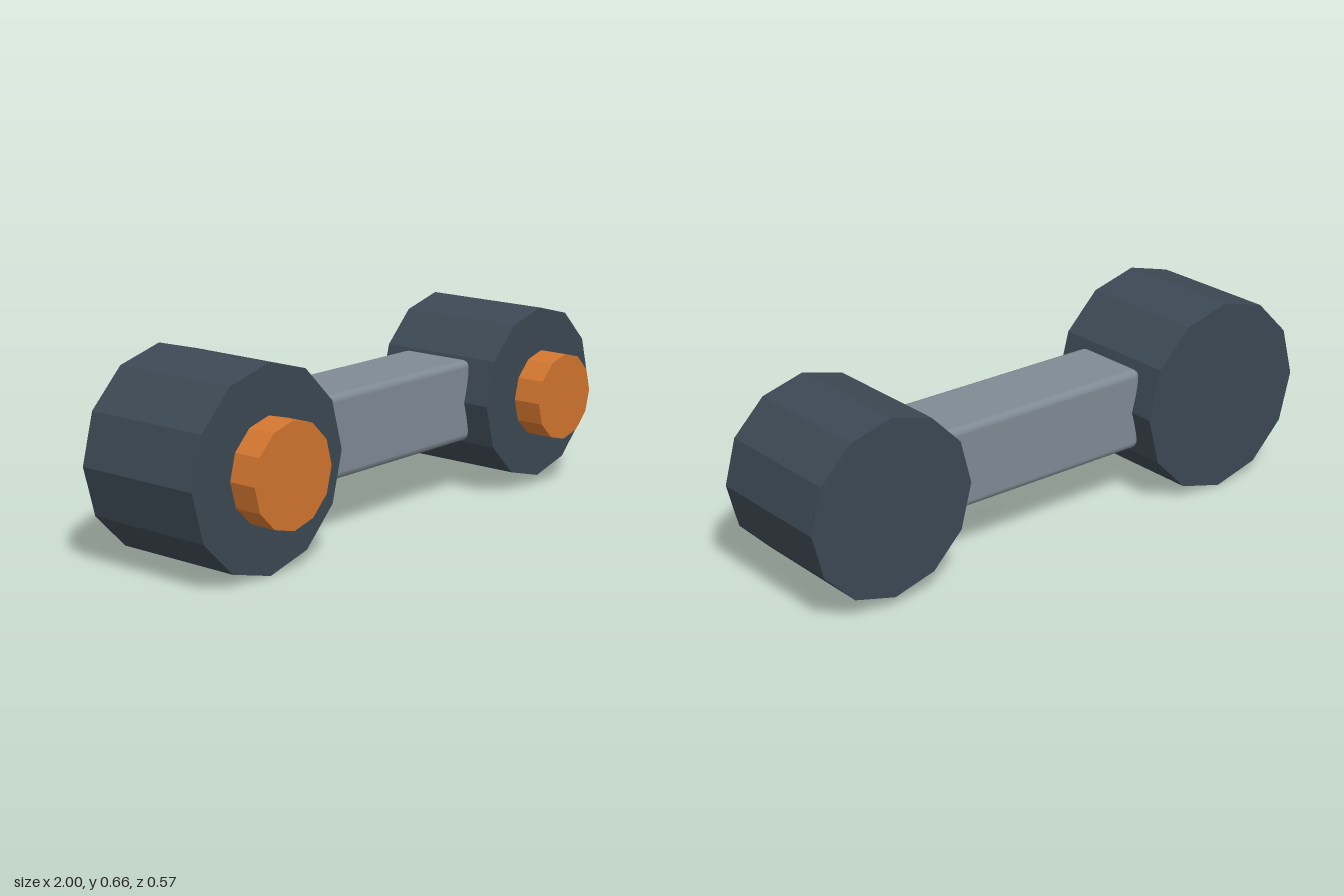
import * as THREE from 'three';
import { RoundedBoxGeometry } from 'three/addons/geometries/RoundedBoxGeometry.js';

const AXIS_Y = 0.333;

function material(name, color, flatShading) {
  const m = new THREE.MeshStandardMaterial({ color, flatShading });
  m.name = name;
  return m;
}

// Twelve-sided drum lying along z between two depths
function drum(name, x, radius, back, front, mat) {
  const geometry = new THREE.CylinderGeometry(radius, radius, front - back, 12);
  geometry.rotateX(Math.PI / 2);
  const mesh = new THREE.Mesh(geometry, mat);
  mesh.name = name;
  mesh.position.set(x, AXIS_Y, (back + front) / 2);
  return mesh;
}

export function createModel() {
  const model = new THREE.Group();
  model.name = 'linkedDrums';

  const slate = material('darkSlate', 0x3b4853, true);
  const orange = material('orange', 0xd2752f, true);
  const steel = material('steelGrey', 0x7f8a94, false);

  // Drums with raised front caps; the smaller cap stands just clear of its drum
  const ends = [
    { side: 'right', x: -0.67, radius: 0.33, cap: 0.17, capBack: 0.175, capFront: 0.273 },
    { side: 'left', x: 0.7, radius: 0.297, cap: 0.149, capBack: 0.183, capFront: 0.284 },
  ];
  for (const e of ends) {
    model.add(drum(`${e.side}Drum`, e.x, e.radius, -0.284, 0.175, slate));
    model.add(drum(`${e.side}Cap`, e.x, e.cap, e.capBack, e.capFront, orange));
  }

  // Square connecting bar with soft bevelled edges
  const bar = new THREE.Mesh(new RoundedBoxGeometry(0.82, 0.28, 0.28, 2, 0.025), steel);
  bar.name = 'connectingBar';
  bar.position.set(0.032, 0.337, -0.06);
  model.add(bar);

  return model;
}
